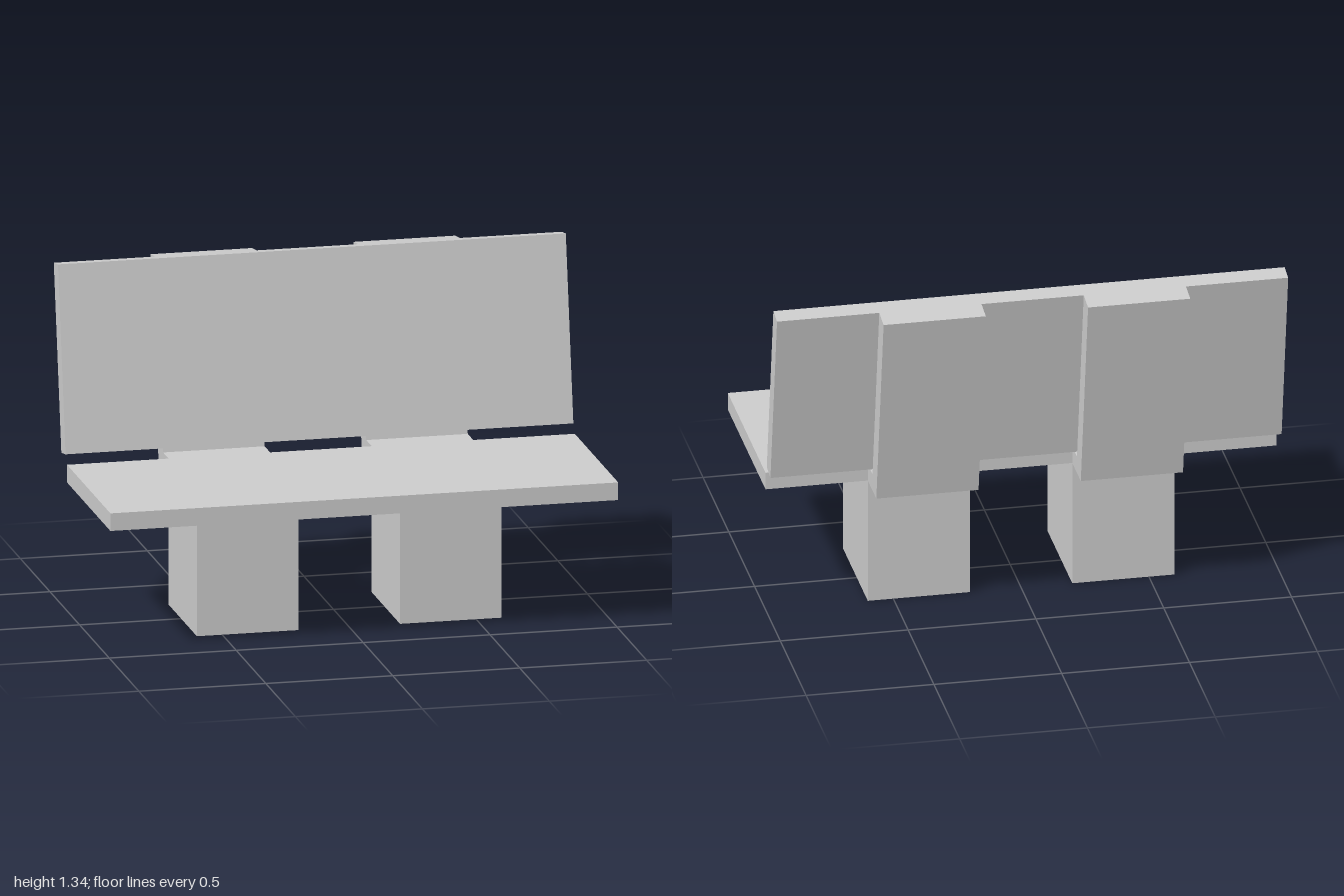
import * as THREE from 'three';

const grey = new THREE.MeshStandardMaterial({ color: 0xcccccc });
grey.name = 'concreteGrey';

// Extrudes a side profile of [z, y] points along x, centred on the given x
function slab(name, profile, width, x = 0) {
  const shape = new THREE.Shape(profile.map(([z, y]) => new THREE.Vector2(-z, y)));
  const geometry = new THREE.ExtrudeGeometry(shape, { depth: width, bevelEnabled: false });
  geometry.translate(0, 0, -width / 2).rotateY(Math.PI / 2);
  const mesh = new THREE.Mesh(geometry, grey);
  mesh.name = name;
  mesh.position.x = x;
  return mesh;
}

export function createModel() {
  const bench = new THREE.Group();
  bench.name = 'bench';

  // Flat seat board and leaning backrest board
  bench.add(slab('seat', [[0.52, 0.51], [-0.213, 0.51], [-0.213, 0.58], [0.52, 0.58]], 2));
  bench.add(slab('backrest', [[-0.237, 0.615], [-0.308, 0.602], [-0.436, 1.324], [-0.365, 1.336]], 2));

  // Two block legs, each with a bent bracket that carries the backrest
  const leg = [[0.265, 0], [-0.213, 0], [-0.213, 0.51], [0.265, 0.51]];
  const bracket = [[-0.213, 0.51], [-0.379, 0.51], [-0.52, 1.311], [-0.436, 1.324], [-0.305, 0.58], [-0.213, 0.58]];
  for (const [side, x] of [['left', 0.4], ['right', -0.4]]) {
    bench.add(slab(side + 'Leg', leg, 0.4, x));
    bench.add(slab(side + 'BackBracket', bracket, 0.4, x));
  }
  return bench;
}
